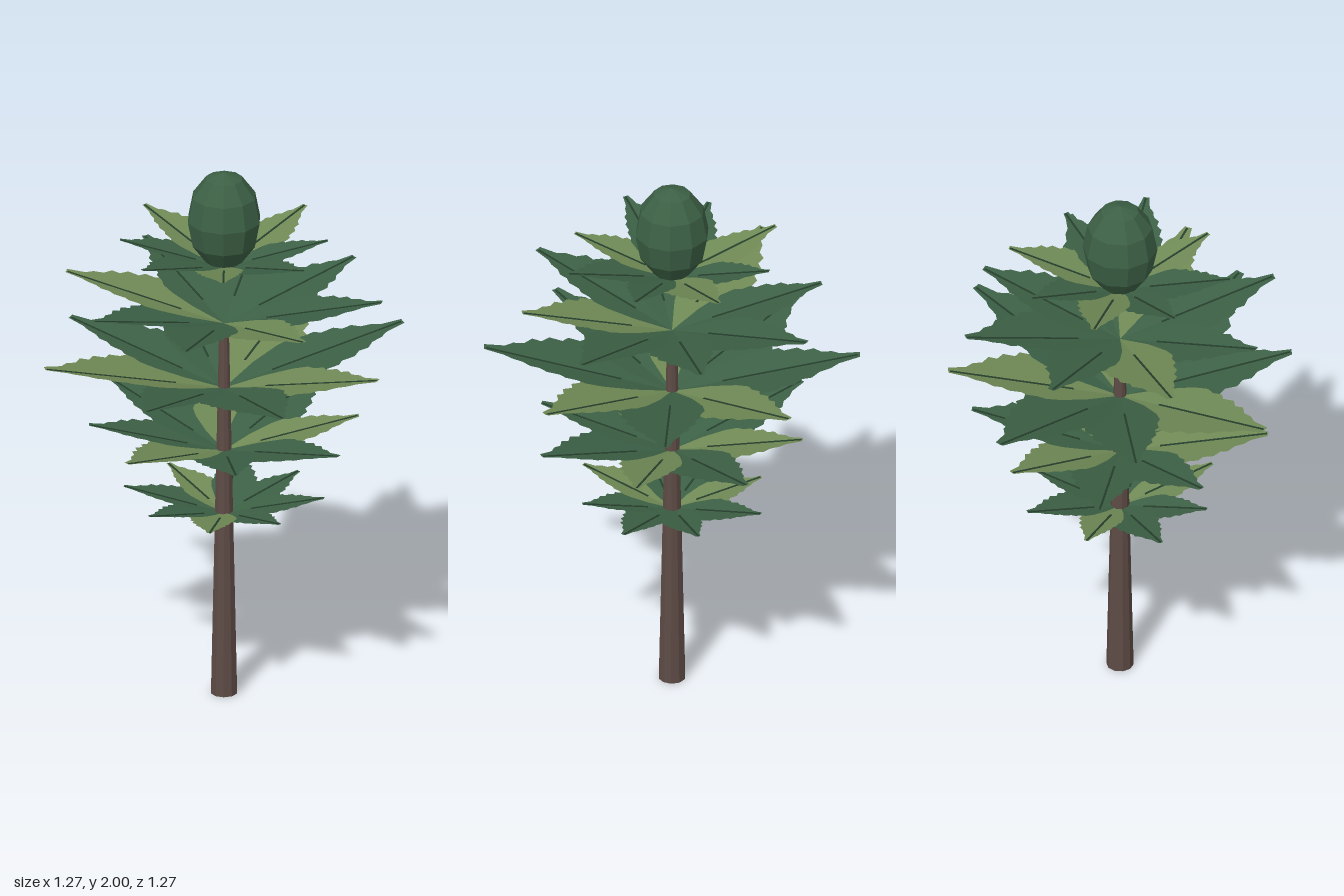
import * as THREE from 'three';

const mat = (name, color) => {
  const m = new THREE.MeshStandardMaterial({ color, flatShading: true, side: THREE.DoubleSide });
  m.name = name;
  return m;
};

// Half-outline of a leaf as [distance, half width], for a leaf one unit long
const EDGE = [
  [0, 0], [0.2, 0.17], [0.36, 0.26], [0.45, 0.28], [0.5, 0.25], [0.56, 0.255], [0.59, 0.215],
  [0.66, 0.22], [0.7, 0.17], [0.75, 0.175], [0.79, 0.12], [0.85, 0.1], [0.89, 0.06], [1, 0.03],
];

// Jagged leaf along +x: two blades folded up from the midrib, one wider than the other
function leafGeometry(length, rise) {
  const pos = [], index = [];
  for (const [sign, width, fold] of [[1, 1, 0.1], [-1, 0.68, 0.2]]) {
    const base = pos.length / 3;
    for (const [t, w] of EDGE) {
      const half = w * width * length;
      pos.push(t * length, t * rise, 0);
      pos.push(t * length, t * rise + half * fold, sign * half);
    }
    for (let i = 0; i < EDGE.length - 1; i++) {
      const a = base + 2 * i;
      if (sign > 0) index.push(a, a + 1, a + 2, a + 1, a + 3, a + 2);
      else index.push(a, a + 2, a + 1, a + 1, a + 2, a + 3);
    }
  }
  const g = new THREE.BufferGeometry();
  g.setAttribute('position', new THREE.Float32BufferAttribute(pos, 3));
  g.setIndex(index);
  g.computeVertexNormals();
  return g;
}

// Thin dark vein lying on the midrib
function veinGeometry(length, rise) {
  const g = new THREE.BoxGeometry(Math.hypot(length, rise) * 0.72, 0.003, 0.007);
  g.rotateZ(Math.atan2(rise, length));
  g.translate(length * 0.63, rise * 0.63 + 0.001, 0);
  return g;
}

export function createModel() {
  const model = new THREE.Group();
  const bark = mat('bark', 0x5e4b46);
  const darkGreen = mat('dark leaf green', 0x3c6045);
  const lightGreen = mat('light leaf green', 0x6f8955);
  const veinGreen = mat('vein green', 0x263f2d);

  // Tapered trunk
  const trunk = new THREE.Mesh(new THREE.CylinderGeometry(0.018, 0.048, 1.4, 10), bark);
  trunk.name = 'trunk';
  trunk.position.y = 0.7;
  model.add(trunk);

  // Leaf whorls: hub height, long leaf, short leaf, rise of the long leaf
  const tiers = [
    [0.69, 0.355, 0.327, 0.078],
    [0.93, 0.525, 0.475, 0.127],
    [1.17, 0.66, 0.605, 0.163],
    [1.418, 0.57, 0.535, 0.14],
    [1.635, 0.4, 0.365, 0.112],
  ];
  tiers.forEach(([y, long, short, rise], i) => {
    const whorl = new THREE.Group();
    whorl.name = `leafWhorl${i + 1}`;
    whorl.position.y = y;
    const sizes = [short, long].map((len) => {
      const r = rise * len / long;
      return [leafGeometry(len, r), veinGeometry(len, r)];
    });
    for (let k = 0; k < 8; k++) {
      const [blade, rib] = sizes[(k + i) % 2];
      const leaf = new THREE.Group();
      leaf.name = 'leaf';
      const bladeMesh = new THREE.Mesh(blade, (k + i) % 3 === 2 ? lightGreen : darkGreen);
      bladeMesh.name = 'leafBlade';
      const ribMesh = new THREE.Mesh(rib, veinGreen);
      ribMesh.name = 'leafVein';
      leaf.add(bladeMesh, ribMesh);
      leaf.rotation.y = THREE.MathUtils.degToRad(2 + 13.2 * i + 45 * k);
      whorl.add(leaf);
    }
    model.add(whorl);
  });

  // Faceted bud at the crown
  const bud = new THREE.Mesh(new THREE.SphereGeometry(0.132, 10, 6), darkGreen);
  bud.name = 'crownBud';
  bud.scale.y = 0.182 / 0.132;
  bud.rotation.y = Math.PI / 2;
  bud.position.y = 1.818;
  model.add(bud);

  return model;
}
